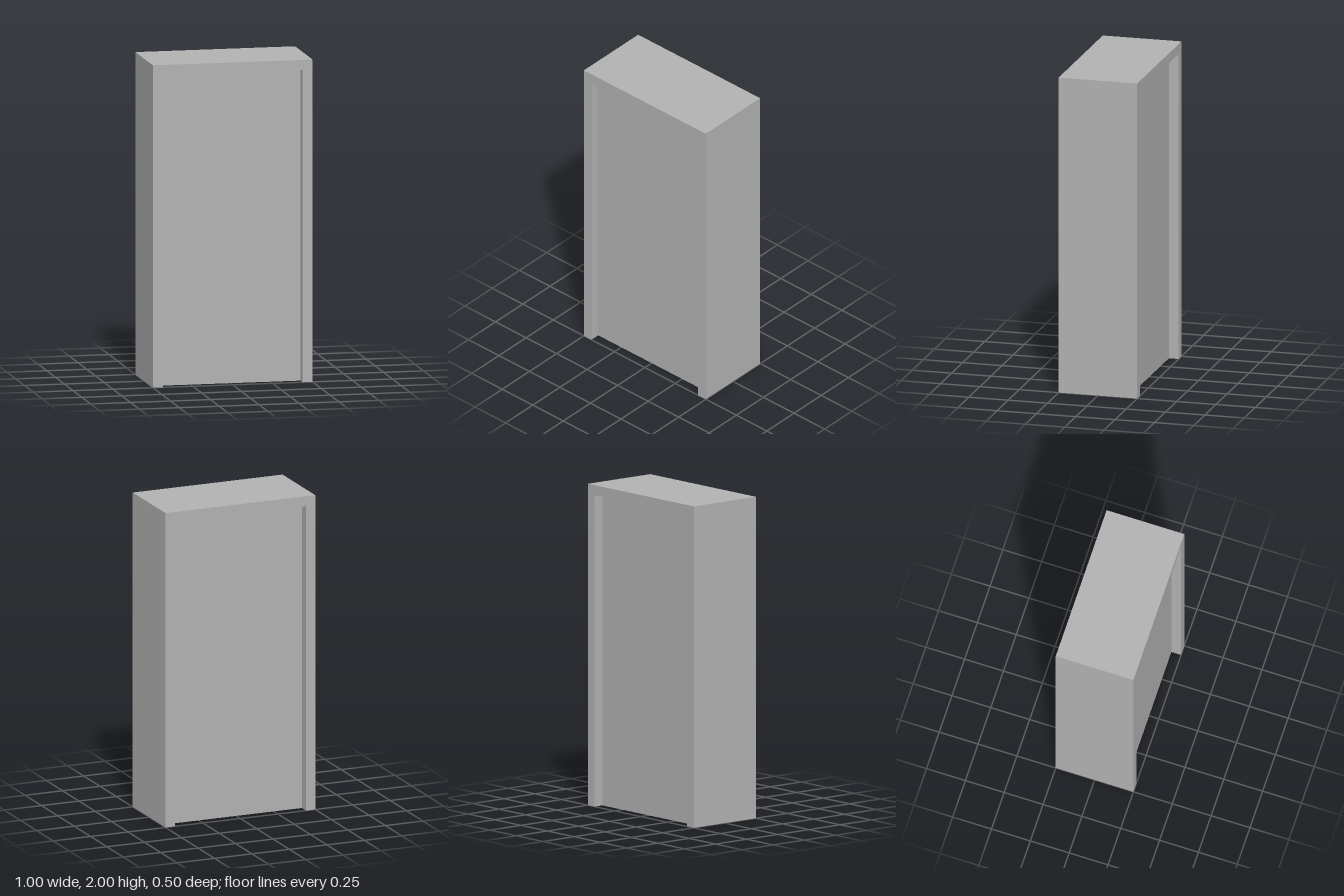
import * as THREE from 'three';

export function createModel() {
  const group = new THREE.Group();
  group.name = 'door';
  const grey = new THREE.MeshStandardMaterial({ color: 0xb2b2b2 });
  grey.name = 'grey';

  const width = 1, height = 2, depth = 0.5, border = 0.0625;
  const half = width / 2, inner = half - border, innerTop = height - border;

  // Frame: two jambs and a lintel, open at the floor
  const outline = new THREE.Shape([
    [-half, 0], [-inner, 0], [-inner, innerTop], [inner, innerTop],
    [inner, 0], [half, 0], [half, height], [-half, height],
  ].map(([x, y]) => new THREE.Vector2(x, y)));
  const frameGeometry = new THREE.ExtrudeGeometry(outline, { depth, bevelEnabled: false });
  frameGeometry.translate(0, 0, -depth / 2);
  const frame = new THREE.Mesh(frameGeometry, grey);
  frame.name = 'frame';
  group.add(frame);

  // Panel: set back from the frame at the front and the back
  const panel = new THREE.Mesh(
    new THREE.BoxGeometry(inner * 2, innerTop, depth - 2 * border), grey);
  panel.position.y = innerTop / 2;
  panel.name = 'panel';
  group.add(panel);

  return group;
}
